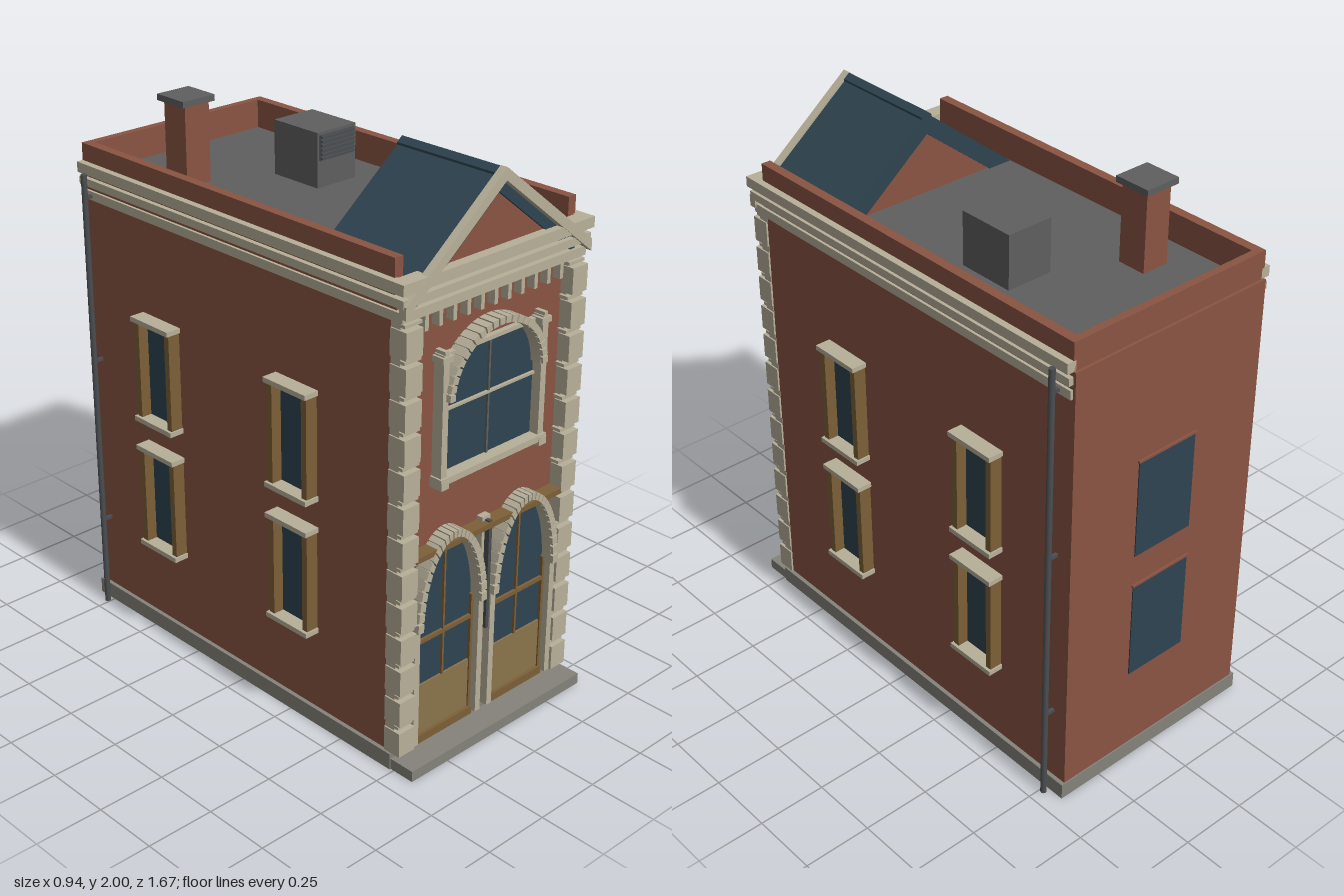
import * as THREE from 'three';

const mat = (name, color, side = THREE.FrontSide) => {
  const m = new THREE.MeshStandardMaterial({ color, side });
  m.name = name;
  return m;
};

export function createModel() {
  const brick = mat('brick', 0x8a5442), stone = mat('paleStone', 0xb7b09a);
  const glass = mat('darkGlass', 0x2e4450), wood = mat('brownWood', 0x7c6038);
  const panel = mat('tanPanel', 0x8a744a), roofing = mat('greyRoofing', 0x5f5f5f);
  const plinth = mat('greyPlinth', 0x85837a), metal = mat('darkMetal', 0x4b4e51);
  const model = new THREE.Group();
  model.name = 'townBuilding';

  const group = (name) => {
    const g = new THREE.Group();
    g.name = name;
    model.add(g);
    return g;
  };
  // Box given by its limits on each axis
  const box = (name, m, [x0, x1], [y0, y1], [z0, z1], parent = model) => {
    const mesh = new THREE.Mesh(new THREE.BoxGeometry(x1 - x0, y1 - y0, z1 - z0), m);
    mesh.position.set((x0 + x1) / 2, (y0 + y1) / 2, (z0 + z1) / 2);
    mesh.name = name;
    parent.add(mesh);
    return mesh;
  };
  // Same box on both sides of x = 0
  const pair = (name, m, [x0, x1], y, z, parent = model) => {
    box(name, m, [x0, x1], y, z, parent);
    box(name, m, [-x1, -x0], y, z, parent);
  };
  const extrude = (name, m, points, z0, z1, parent = model) => {
    const shape = new THREE.Shape(points.map(([x, y]) => new THREE.Vector2(x, y)));
    const mesh = new THREE.Mesh(new THREE.ExtrudeGeometry(shape, { depth: z1 - z0, bevelEnabled: false }), m);
    mesh.position.z = z0;
    mesh.name = name;
    parent.add(mesh);
  };
  // Row of arch stones along the upper half of an ellipse
  const arch = (name, cx, cy, a, b, count, thick, z0, z1, parent) => {
    const at = (t, k) => [cx + (a + k) * Math.cos(t), cy + (b + k) * Math.sin(t)];
    extrude(name + 'Ring', stone, [
      ...Array.from({ length: 25 }, (_, i) => at(Math.PI * i / 24, thick * 0.8)),
      ...Array.from({ length: 25 }, (_, i) => at(Math.PI * (24 - i) / 24, 0)),
    ], z0, z1 - 0.012, parent);
    for (let i = 0; i < count; i++) {
      const t0 = Math.PI * (i + 0.1) / count, t1 = Math.PI * (i + 0.9) / count;
      extrude(name + 'Stone', stone, [at(t0, 0), at(t0, thick), at(t1, thick), at(t1, 0)], z0, z1, parent);
    }
  };

  // Base and step
  box('plinth', plinth, [-0.425, 0.425], [0, 0.06], [-0.83, 0.735]);
  box('frontStep', plinth, [-0.42, 0.42], [0, 0.04], [0.735, 0.835]);

  // Walls, flat roof and parapet
  box('walls', brick, [-0.41, 0.41], [0.06, 1.68], [-0.815, 0.72]);
  box('backWallFacing', brick, [-0.41, 0.41], [0.06, 1.7], [-0.825, -0.815]);
  box('flatRoof', roofing, [-0.376, 0.376], [1.68, 1.695], [-0.79, 0.72]);
  pair('sideParapet', brick, [0.375, 0.41], [1.68, 1.8], [-0.815, 0.71]);
  box('backParapet', brick, [-0.375, 0.375], [1.68, 1.8], [-0.815, -0.787]);

  // Cornice bands round the front and sides
  const cornice = group('cornice');
  for (const [y0, y1, x, z] of [[1.7, 1.737, 0.435, 0.772], [1.655, 1.683, 0.428, 0.765], [1.605, 1.637, 0.42, 0.755]]) {
    pair('sideCorniceBand', stone, [0.4, x], [y0, y1], [-0.815, 0.72], cornice);
    box('frontCorniceBand', stone, [-x, x], [y0, y1], [0.715, z], cornice);
  }
  for (let i = 0; i < 11; i++) {
    const x = -0.31 + 0.062 * i;
    box('dentil', stone, [x - 0.008, x + 0.008], [1.55, 1.605], [0.715, 0.75], cornice);
  }

  // Front gable with its pitched roof
  const gable = group('frontGable');
  const slope = 0.79;
  const chevron = (top, half, t) => [
    [0, top], [-half, top - slope * half], [-half, top - slope * half - t],
    [0, top - t], [half, top - slope * half - t], [half, top - slope * half],
  ];
  extrude('gableWall', brick, [[-0.36, 1.65], [0.36, 1.65], [0, 1.925]], 0.34, 0.735, gable);
  extrude('pitchedRoof', glass, chevron(1.99, 0.374, 0.075), 0.33, 0.745, gable);
  extrude('ridgeCap', glass, chevron(1.998, 0.022, 0.02), 0.33, 0.745, gable);
  extrude('gableTrim', stone, chevron(2.0, 0.425, 0.042), 0.745, 0.774, gable);

  // Corner stones, alternately wide and narrow
  const quoins = group('cornerStones');
  for (let i = 0; i < 13; i++) {
    const y = 0.06 + i * 0.119;
    pair('cornerStone', stone, [0.345, 0.417], [y, y + 0.092], [0.7, 0.77], quoins);
    pair('cornerStoneJoint', stone, [0.35, 0.412], [y + 0.092, y + 0.119], [0.7, 0.74], quoins);
    pair('cornerStoneLip', stone, [0.338, 0.412], [y + 0.1, y + 0.111], [0.71, 0.758], quoins);
  }

  // Large upper window
  const bay = group('upperFrontWindow');
  box('pane', glass, [-0.22, 0.22], [1.02, 1.43], [0.718, 0.726], bay);
  box('sill', stone, [-0.25, 0.25], [1.005, 1.028], [0.715, 0.77], bay);
  box('head', stone, [-0.22, 0.22], [1.428, 1.442], [0.715, 0.74], bay);
  pair('jamb', stone, [0.217, 0.243], [1.005, 1.45], [0.715, 0.762], bay);
  pair('jambCap', stone, [0.205, 0.252], [1.425, 1.445], [0.715, 0.768], bay);
  pair('jambTop', stone, [0.222, 0.238], [1.445, 1.462], [0.715, 0.762], bay);
  pair('jambFoot', stone, [0.215, 0.25], [0.99, 1.02], [0.715, 0.772], bay);
  box('crossBar', stone, [-0.217, 0.217], [1.241, 1.25], [0.72, 0.736], bay);
  box('uprightBar', roofing, [-0.004, 0.004], [1.028, 1.43], [0.72, 0.734], bay);
  arch('windowArch', 0, 1.29, 0.205, 0.2, 23, 0.024, 0.715, 0.78, bay);

  // Ground floor doorways under tall arches
  const shop = group('groundFloorFront');
  box('beam', wood, [-0.35, 0.35], [0.765, 0.785], [0.715, 0.77], shop);
  for (const s of [-1, 1]) {
    const cx = s * 0.18;
    const span = (w) => [cx - w, cx + w];
    const opening = [[-0.14, 0.06], [0.14, 0.06]];
    for (let i = 0; i <= 16; i++) {
      const t = Math.PI * i / 16;
      opening.push([0.14 * Math.cos(t), Math.min(0.766, 0.5 + 0.3 * Math.sin(t))]);
    }
    extrude('doorGlass', glass, opening.map(([x, y]) => [cx + x, y]), 0.718, 0.726, shop);
    box('doorPanel', panel, span(0.132), [0.07, 0.265], [0.715, 0.733], shop);
    box('doorFoot', wood, span(0.14), [0.045, 0.075], [0.715, 0.745], shop);
    box('doorRail', wood, span(0.135), [0.428, 0.442], [0.715, 0.737], shop);
    box('doorMullion', wood, span(0.004), [0.265, 0.765], [0.715, 0.735], shop);
    for (const e of [-1, 1]) {
      const x = cx + e * 0.134, p = cx + e * 0.151;
      box('doorStile', wood, [x - 0.006, x + 0.006], [0.06, 0.52], [0.715, 0.738], shop);
      box('archPost', stone, [p - 0.012, p + 0.012], [0.06, 0.51], [0.715, 0.762], shop);
    }
    arch('doorArch', cx, 0.5, 0.137, 0.3, 25, 0.026, 0.715, 0.776, shop);
  }
  box('centrePier', stone, [-0.02, 0.02], [0.51, 0.8], [0.715, 0.745], shop);
  box('centrePipe', metal, [-0.007, 0.007], [0.38, 0.79], [0.715, 0.765], shop);

  // Side and back windows, two storeys each
  const windows = group('sideAndBackWindows');
  for (const [y0, y1] of [[0.37, 0.755], [0.87, 1.25]]) {
    for (const zc of [0.278, -0.41]) {
      pair('sidePane', glass, [0.408, 0.417], [y0, y1], [zc - 0.08, zc + 0.08], windows);
      for (const e of [-1, 1]) {
        const z = zc + e * 0.082;
        pair('sideFrame', wood, [0.405, 0.457], [y0, y1], [z - 0.012, z + 0.012], windows);
      }
      for (const y of [y0, y1])
        pair('sideSill', stone, [0.405, 0.468], [y - 0.009, y + 0.009], [zc - 0.1, zc + 0.1], windows);
    }
    box('backPane', glass, [-0.125, 0.125], [y0 + 0.01, y1], [-0.829, -0.822], windows);
    box('backHead', brick, [-0.13, 0.13], [y1, y1 + 0.008], [-0.833, -0.822], windows);
  }

  // Downpipes
  for (const s of [-1, 1]) {
    const pipe = new THREE.Mesh(new THREE.CylinderGeometry(0.011, 0.011, 1.705, 10), metal);
    pipe.position.set(s * 0.447, 0.8525, -0.763);
    pipe.name = 'downpipe';
    model.add(pipe);
    for (const y of [0.35, 1.0, 1.62])
      box('pipeBracket', metal, s > 0 ? [0.405, 0.447] : [-0.447, -0.405], [y - 0.006, y + 0.006], [-0.769, -0.757]);
  }

  // Chimney
  box('chimney', brick, [-0.257, -0.153], [1.69, 1.98], [-0.542, -0.433]);
  box('chimneyCap', roofing, [-0.274, -0.137], [1.978, 2.0], [-0.558, -0.42]);

  // Rooftop ventilation unit with a slatted front
  const unit = group('ventilationUnit');
  box('unitBody', roofing, [0.057, 0.234], [1.69, 1.89], [-0.338, -0.122], unit);
  box('grille', metal, [0.067, 0.224], [1.79, 1.88], [-0.123, -0.118], unit);
  for (let i = 0; i < 6; i++)
    box('slat', metal, [0.07, 0.221], [1.795 + i * 0.015, 1.802 + i * 0.015], [-0.12, -0.11], unit);

  return model;
}
